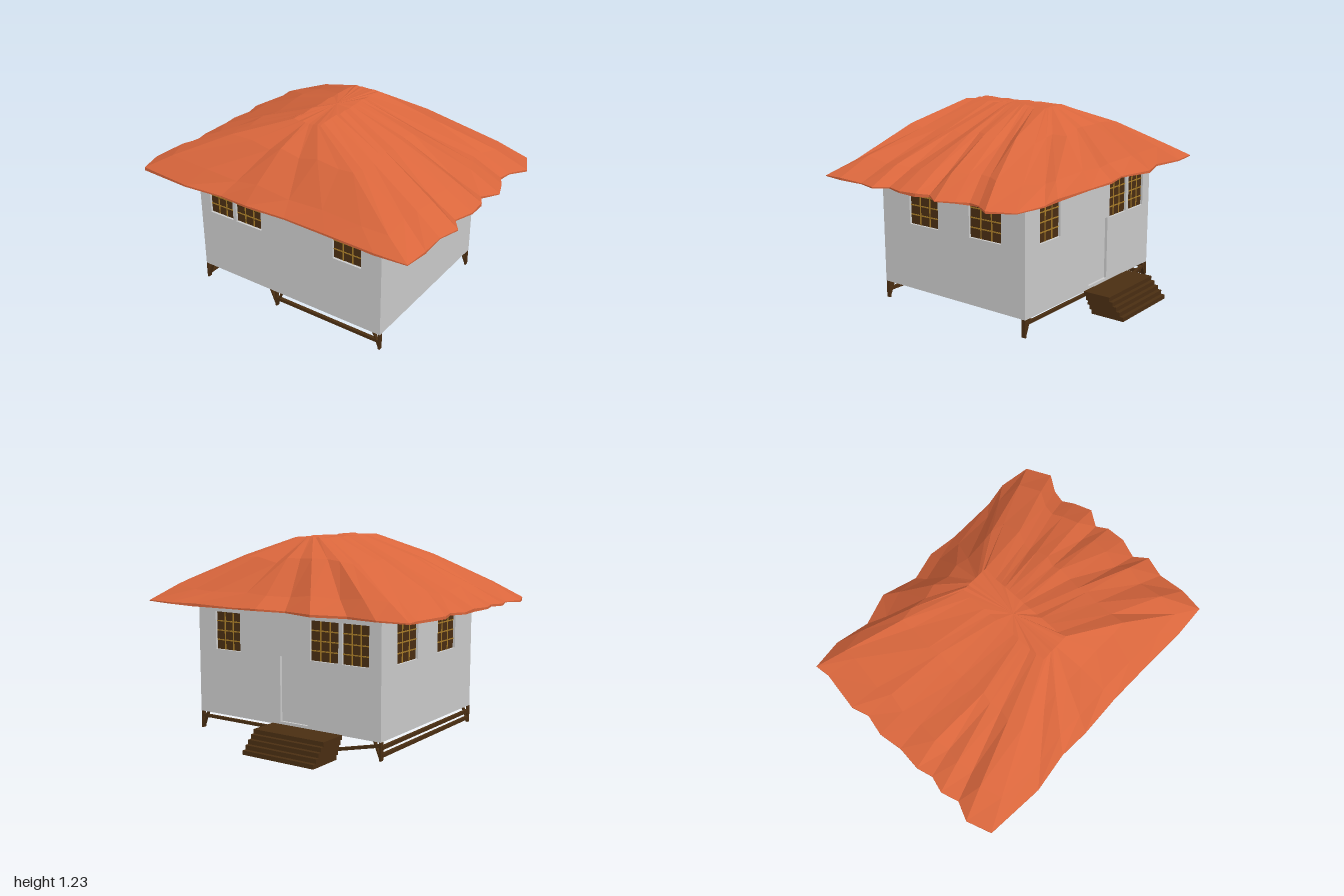
import * as THREE from 'three';

const mat = (color, extra = {}) => new THREE.MeshStandardMaterial({ color, ...extra });
const grey = mat(0xcccccc);
const wood = mat(0x4a2e12);
const gold = mat(0xa87c28);
const thatch = mat(0xd9663c, { flatShading: true });

function add(parent, name, geometry, material, x = 0, y = 0, z = 0) {
  const mesh = new THREE.Mesh(geometry, material);
  mesh.name = name;
  mesh.position.set(x, y, z);
  parent.add(mesh);
  return mesh;
}
const box = (w, h, d) => new THREE.BoxGeometry(w, h, d);

// Square timber running from point a to point b
function beam(parent, name, a, b, width, depth = width) {
  const from = new THREE.Vector3(...a), to = new THREE.Vector3(...b);
  const dir = to.clone().sub(from);
  const mesh = add(parent, name, box(width, dir.length(), depth), wood);
  mesh.position.copy(from).add(to).multiplyScalar(0.5);
  mesh.quaternion.setFromUnitVectors(new THREE.Vector3(0, 1, 0), dir.normalize());
}

const FLOOR = 0.125, TOP = 0.82, THICK = 0.03;
const SILL = 0.535, HEAD = 0.77, DOOR_HEAD = 0.54;

// Wall facing local +z, with window openings and an optional door
function wall(name, width, windows, door) {
  const g = new THREE.Group();
  g.name = name;
  const rect = (P, x0, x1, y0, y1) => {
    const p = new P();
    p.moveTo(x0, y0).lineTo(x1, y0).lineTo(x1, y1).lineTo(x0, y1).closePath();
    return p;
  };
  const shape = rect(THREE.Shape, -width / 2, width / 2, FLOOR, TOP);
  for (const [a, b] of windows) shape.holes.push(rect(THREE.Path, a, b, SILL, HEAD));
  if (door) shape.holes.push(rect(THREE.Path, door[0], door[1], FLOOR + 0.002, DOOR_HEAD));
  const geo = new THREE.ExtrudeGeometry(shape, { depth: THICK, bevelEnabled: false });
  add(g, 'wallPanel', geo, grey, 0, 0, -THICK);

  // Recessed window lattices
  for (const [a, b] of windows) {
    const w = b - a, h = HEAD - SILL, cx = (a + b) / 2, cy = (SILL + HEAD) / 2;
    add(g, 'windowShutter', box(w, h, 0.01), wood, cx, cy, -0.02);
    for (const i of [1, 2])
      add(g, 'windowMullion', box(0.008, h, 0.004), gold, a + (w * i) / 3, cy, -0.014);
    for (const i of [1, 2, 3])
      add(g, 'windowBar', box(w, 0.007, 0.004), gold, cx, SILL + (h * i) / 4, -0.014);
  }
  if (door) {
    const h = DOOR_HEAD - FLOOR;
    add(g, 'doorLeaf', box(door[1] - door[0], h, 0.01), grey, (door[0] + door[1]) / 2, FLOOR + h / 2, -0.022);
  }
  return g;
}

function makeHouse() {
  const house = new THREE.Group();
  house.name = 'houseBody';
  house.position.set(-0.022, 0, 0.025);
  const W = 1.335, D = 1.1;
  const place = (w, x, z, turn) => {
    w.position.set(x, 0, z);
    w.rotation.y = turn;
    house.add(w);
  };
  place(wall('frontWall', W, [[-0.588, -0.408], [-0.383, -0.188], [0.337, 0.532]]), 0, D / 2, 0);
  place(wall('backWall', W, [[-0.532, -0.337], [0.188, 0.383], [0.408, 0.588]], [-0.032, 0.168]), 0, -D / 2, Math.PI);
  const side = D - 2 * THICK;
  place(wall('leftWall', side, [[-0.325, -0.095], [0.145, 0.38]]), W / 2, 0, Math.PI / 2);
  place(wall('rightWall', side, [[-0.38, -0.145], [0.095, 0.325]]), -W / 2, 0, -Math.PI / 2);
  add(house, 'floor', box(W - 0.002, 0.02, D - 0.002), grey, 0, FLOOR + 0.0105, 0);
  return house;
}

// Ragged eave outline (x, z), anticlockwise from above, one list per side
const EAVES = {
  front: [[-0.95, 0.77], [-0.59, 0.8], [-0.34, 0.765], [-0.15, 0.775], [0.12, 0.765], [0.4, 0.77], [0.72, 0.78], [0.92, 0.77]],
  left: [[0.94, 0.62], [0.93, 0.45], [0.97, 0.32], [0.91, 0.24], [0.955, 0.12], [0.95, 0], [0.91, -0.07],
    [0.98, -0.17], [0.94, -0.28], [0.9, -0.35], [0.92, -0.43], [0.99, -0.53]],
  back: [[0.92, -0.68], [0.72, -0.71], [0.56, -0.68], [0.24, -0.68], [0.05, -0.7], [-0.13, -0.655],
    [-0.35, -0.72], [-0.55, -0.655], [-0.76, -0.7], [-0.95, -0.68]],
  right: [[-0.94, -0.59], [-0.98, -0.34], [-0.95, -0.23], [-0.98, -0.1], [-0.96, 0.05], [-0.975, 0.2],
    [-0.95, 0.3], [-0.98, 0.4], [-0.95, 0.51], [-1, 0.62]],
};

// Roof: rings of the eave outline drawn in towards a short ridge, folded by small noise
function makeRoof() {
  let seed = 7;
  const noise = () => ((seed = (seed * 16807) % 2147483647) / 2147483647) - 0.5;
  const columns = [];
  for (const [side, points] of Object.entries(EAVES)) {
    for (const [x, z] of points) {
      const rx = side === 'left' ? 0.08 : side === 'right' ? -0.1 : x * 0.1;
      const rz = side === 'front' ? 0.37 : side === 'back' ? -0.25 : 0.06 + z * 0.42;
      columns.push({ x, z, rx, rz, ends: side === 'front' || side === 'back' });
    }
  }
  const N = columns.length;
  const steps = [[0, 0, 0], [0, 0.03, 0], [0.2, 0.27, 0.25], [0.6, 0.67, 0.68], [1, 1, 1]];
  const pos = [];
  steps.forEach(([t, hSide, hEnd], k) => {
    for (const c of columns) {
      const wobble = k === 2 || k === 3 ? noise() * 0.04 : noise() * 0.012;
      const h = c.ends ? hEnd + (k === 1 ? 0.03 : 0) : hSide;
      pos.push(c.x + (c.rx - c.x) * t, 0.817 + 0.41 * h + wobble, c.z + (c.rz - c.z) * t);
    }
  });
  const last = steps.length - 1, under = N * steps.length, peak = under + 1;
  pos.push(0, 0.815, 0.02, -0.01, 1.232, 0.06);
  const index = [];
  for (let i = 0; i < N; i++) {
    const j = (i + 1) % N;
    for (let k = 0; k < last; k++) {
      const a = k * N + i, b = k * N + j, d = a + N, c = b + N;
      index.push(a, b, c, a, c, d);
    }
    index.push(under, j, i, peak, last * N + i, last * N + j);
  }
  let geo = new THREE.BufferGeometry();
  geo.setAttribute('position', new THREE.Float32BufferAttribute(pos, 3));
  geo.setIndex(index);
  geo = geo.toNonIndexed();
  geo.computeVertexNormals();
  const roof = new THREE.Mesh(geo, thatch);
  roof.name = 'roof';
  return roof;
}

// Short stilts with diagonal braces, tied by rails
function makeStilts() {
  const g = new THREE.Group();
  g.name = 'stilts';
  const X0 = -0.685, X1 = 0.638, Z0 = -0.512, Z1 = 0.562;
  const post = (x, z, braces) => {
    beam(g, 'stiltPost', [x, 0.017, z], [x, FLOOR, z], 0.012, 0.025);
    for (const s of braces)
      beam(g, 'stiltBrace', [x, 0.025, z], [x + s * 0.042, FLOOR, z], 0.01, 0.022);
  };
  for (const z of [Z0, Z1]) {
    post(X0, z, [1]);
    post(X1, z, [-1]);
  }
  post(-0.12, Z1, [-1, 1]);
  beam(g, 'frontRail', [-0.12, 0.07, Z1], [X1, 0.07, Z1], 0.02);
  beam(g, 'backRail', [0.0, 0.096, Z0], [X1, 0.096, Z0], 0.018);
  beam(g, 'fallenRail', [X0, 0.105, Z0], [-0.34, 0.025, Z0], 0.018);
  for (const y of [0.047, 0.091])
    beam(g, 'sideRail', [X0, y, Z0], [X0, y, Z1], 0.02);
  return g;
}

// Back steps: five stacked boards, the lower ones further out
function makeSteps() {
  const g = new THREE.Group();
  g.name = 'steps';
  const h = 0.026;
  for (let i = 0; i < 5; i++) {
    const inner = -0.587 + i * 0.0145, outer = -0.81 + i * 0.025;
    add(g, 'stepBoard', box(0.5, h, inner - outer), wood, -0.185, h * (i + 0.5), (inner + outer) / 2);
  }
  return g;
}

export function createModel() {
  const model = new THREE.Group();
  model.name = 'stiltHouse';
  model.add(makeHouse(), makeRoof(), makeStilts(), makeSteps());
  return model;
}
